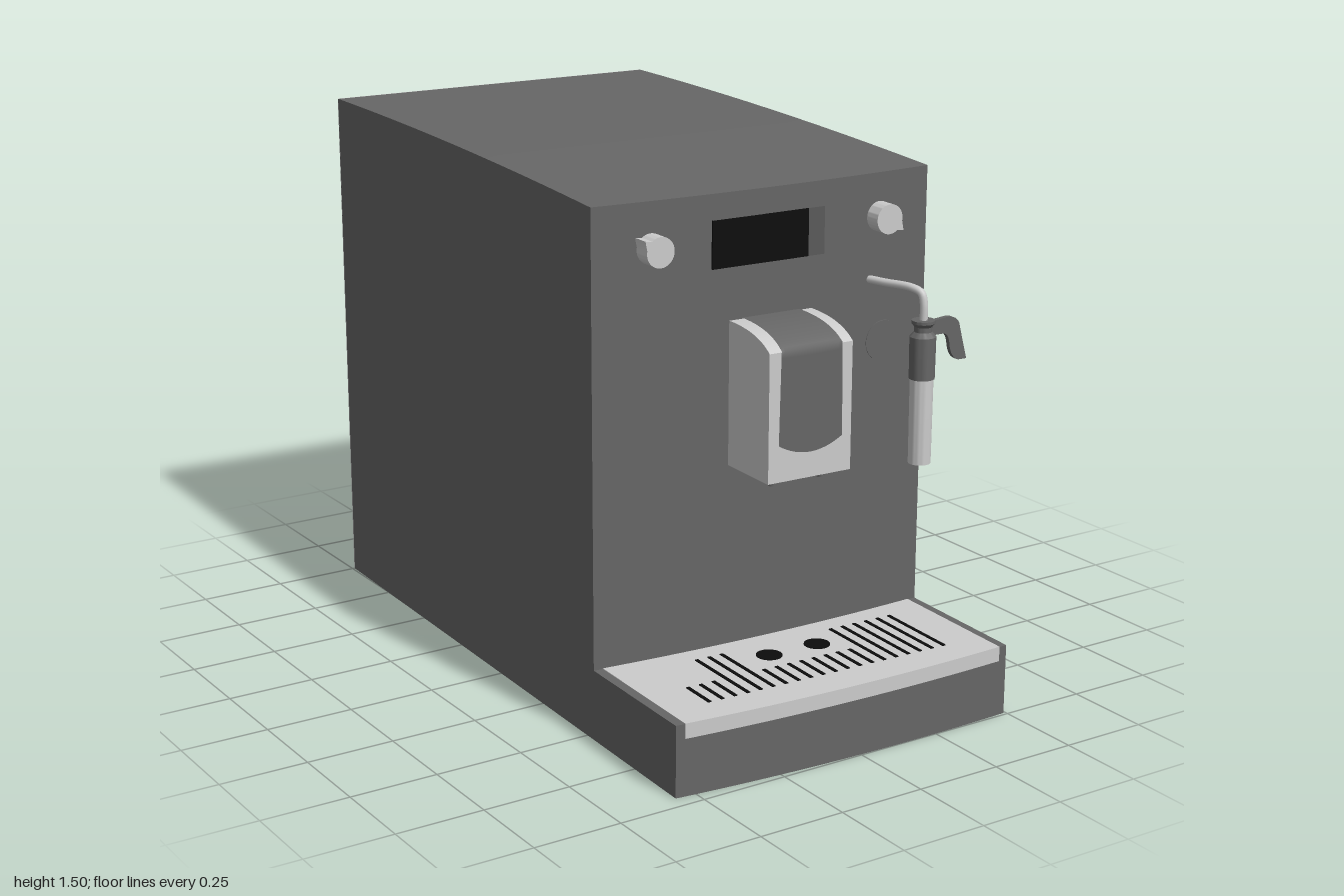
import * as THREE from 'three';
import { toCreasedNormals } from 'three/addons/utils/BufferGeometryUtils.js';

const paint = (color) => new THREE.MeshStandardMaterial({ color, side: THREE.DoubleSide });
const light = paint(0xcccccc), dark = paint(0x666666), black = paint(0x0c0c0c), smoky = paint(0x5a5a5a);
const HALF = 0.526, BULGE = 0.022;
const bulge = (x) => BULGE * (1 - (x / HALF) ** 2);

// extrude a (z, y) side profile across the width, centred on x = 0
function sideExtrude(points, width, steps = 1) {
  const g = new THREE.ExtrudeGeometry(new THREE.Shape(points), { depth: width, steps, bevelEnabled: false });
  return g.translate(0, 0, -width / 2).rotateY(-Math.PI / 2);
}

export function createModel() {
  const group = new THREE.Group();
  const add = (name, geometry, material, x = 0, y = 0, z = 0, parent = group) => {
    const mesh = new THREE.Mesh(geometry, material);
    mesh.name = name;
    mesh.position.set(x, y, z);
    parent.add(mesh);
    return mesh;
  };
  const v2 = (x, y) => new THREE.Vector2(x, y);

  // cabinet with foot: gently falling lid, front faces bowed outward
  const profile = [v2(-0.983, 0), v2(0.974, 0), v2(0.974, 0.2), v2(0.555, 0.2)];
  for (let i = 12; i >= 0; i--) {
    const t = i / 12;
    profile.push(v2(-0.983 + 1.538 * t, 1.5 - 0.045 * t * t));
  }
  const body = sideExtrude(profile, HALF * 2, 20);
  const p = body.attributes.position;
  for (let i = 0; i < p.count; i++) if (p.getZ(i) > 0.55) p.setZ(i, p.getZ(i) + bulge(p.getX(i)));
  add('cabinet', toCreasedNormals(body, 0.4), dark);
  add('backPanel', new THREE.BoxGeometry(HALF * 2, 1.5, 0.004), light, 0, 0.75, -0.983);

  // drip tray insert with bowed front lip
  const tray = new THREE.Shape();
  tray.moveTo(-0.5, -0.54);
  for (let i = 0; i <= 20; i++) {
    const x = -0.5 + i * 0.05;
    tray.lineTo(x, -(0.976 + bulge(x)));
  }
  tray.lineTo(0.5, -0.54);
  const trayGeo = new THREE.ExtrudeGeometry(tray, { depth: 0.042, bevelEnabled: false }).rotateX(-Math.PI / 2);
  add('dripTray', toCreasedNormals(trayGeo, 0.4), light, 0, 0.16, 0);

  // drain slots and holes
  for (let i = 0; i < 20; i++) {
    const short = i < 3 || (i > 5 && i < 14);
    const back = short ? 0.785 : 0.637, front = 0.895;
    add('drainSlot', new THREE.BoxGeometry(0.01, 0.003, front - back), black, (i - 9.5) * 0.0395, 0.203, (front + back) / 2);
  }
  for (const x of [-0.07, 0.085]) {
    add('drainHole', new THREE.CylinderGeometry(0.036, 0.036, 0.003, 24), black, x, 0.203, 0.708);
  }

  // display
  add('displayFrame', new THREE.BoxGeometry(0.35, 0.13, 0.02), smoky, 0, 1.32, 0.568);
  add('displayScreen', new THREE.BoxGeometry(0.3, 0.13, 0.02), black, -0.027, 1.32, 0.5695);

  // knobs with pointed grip
  const knob = (x, y, angle) => {
    const s = new THREE.Shape();
    s.absarc(0, 0, 0.041, 0.45, Math.PI * 2 - 0.25, false);
    s.lineTo(0.057, 0);
    const g = new THREE.ExtrudeGeometry(s, { depth: 0.057, bevelEnabled: false, curveSegments: 28 });
    add('knob', toCreasedNormals(g, 0.5), light, x, y, 0.56).rotation.z = angle;
  };
  knob(-0.356, 1.33, 2.5);
  knob(0.36, 1.335, -0.65);

  // coffee outlet housing
  const outlet = new THREE.Group();
  outlet.name = 'coffeeOutlet';
  outlet.position.x = 0.008;
  group.add(outlet);
  const hood = new THREE.QuadraticBezierCurve(v2(0.56, 1.11), v2(0.71, 1.115), v2(0.77, 1.065));
  const housing = sideExtrude([...hood.getPoints(14), v2(0.77, 0.712), v2(0.56, 0.712)], 0.26);
  add('outletHousing', toCreasedNormals(housing, 0.4), light, 0, 0, 0, outlet);

  // dark cover wrapped over the hood and down to a rounded end
  const cover = new THREE.PlaneGeometry(2, 1, 16, 28);
  const c = cover.attributes.position;
  for (let i = 0; i < c.count; i++) {
    const s = c.getX(i), t = 0.5 - c.getY(i);
    const end = 0.81 - 0.03 * (1 - s * s);
    const q = t <= 0.5 ? hood.getPoint(t * 2) : v2(0.77, THREE.MathUtils.lerp(1.065, end, t * 2 - 1));
    c.setXYZ(i, s * (0.09 + 0.01 * t), q.y + 0.003, q.x + 0.003);
  }
  cover.computeVertexNormals();
  add('outletCover', cover, dark, 0, 0, 0, outlet);
  for (const x of [-0.077, 0.077]) {
    add('spout', new THREE.CylinderGeometry(0.012, 0.012, 0.05, 16), dark, x, 0.71, 0.71, outlet);
  }

  // milk frother: bent pipe, grip collar, hollow nozzle
  const frother = new THREE.Group();
  frother.name = 'steamWand';
  frother.position.set(0.39, 0, 0.738);
  group.add(frother);
  const pipe = new THREE.CatmullRomCurve3([
    [-0.06, 1.163, -0.18], [-0.042, 1.163, -0.12], [-0.014, 1.163, -0.035],
    [-0.003, 1.152, -0.008], [0, 1.125, 0], [0, 1.06, 0],
  ].map((a) => new THREE.Vector3(...a)));
  add('steamPipe', new THREE.TubeGeometry(pipe, 40, 0.011, 12), light, 0, 0, 0, frother);
  const lathe = (name, pts, mat) =>
    add(name, toCreasedNormals(new THREE.LatheGeometry(pts.map((a) => v2(...a)), 28), 0.5), mat, 0, 0, 0, frother);
  lathe('wandGrip', [[0, 0.918], [0.035, 0.918], [0.036, 1.035], [0.024, 1.048], [0.024, 1.062],
    [0.032, 1.072], [0.032, 1.08], [0, 1.08]], dark);
  lathe('wandNozzle', [[0.024, 0.92], [0.024, 0.68], [0.031, 0.68], [0.032, 0.92]], light);

  // hooked lever beside the grip
  const lever = new THREE.Shape();
  lever.moveTo(0.025, 1.035);
  lever.lineTo(0.065, 1.035);
  lever.quadraticCurveTo(0.082, 1.03, 0.085, 1.0);
  lever.quadraticCurveTo(0.09, 0.965, 0.115, 0.955);
  lever.lineTo(0.143, 0.955);
  lever.quadraticCurveTo(0.125, 1.02, 0.115, 1.06);
  lever.quadraticCurveTo(0.1, 1.085, 0.06, 1.078);
  lever.lineTo(0.025, 1.075);
  const leverGeo = new THREE.ExtrudeGeometry(lever, { depth: 0.014, bevelEnabled: false, curveSegments: 8 });
  add('wandLever', toCreasedNormals(leverGeo, 0.5), dark, 0, 0, -0.007, frother);

  // round mount on the front panel behind the wand
  add('wandMount', new THREE.CylinderGeometry(0.057, 0.057, 0.02, 32), dark, 0.381, 0.985, 0.56).rotation.x = Math.PI / 2;

  // the appliance stands turned slightly
  group.rotation.y = -0.0333;
  return group;
}
